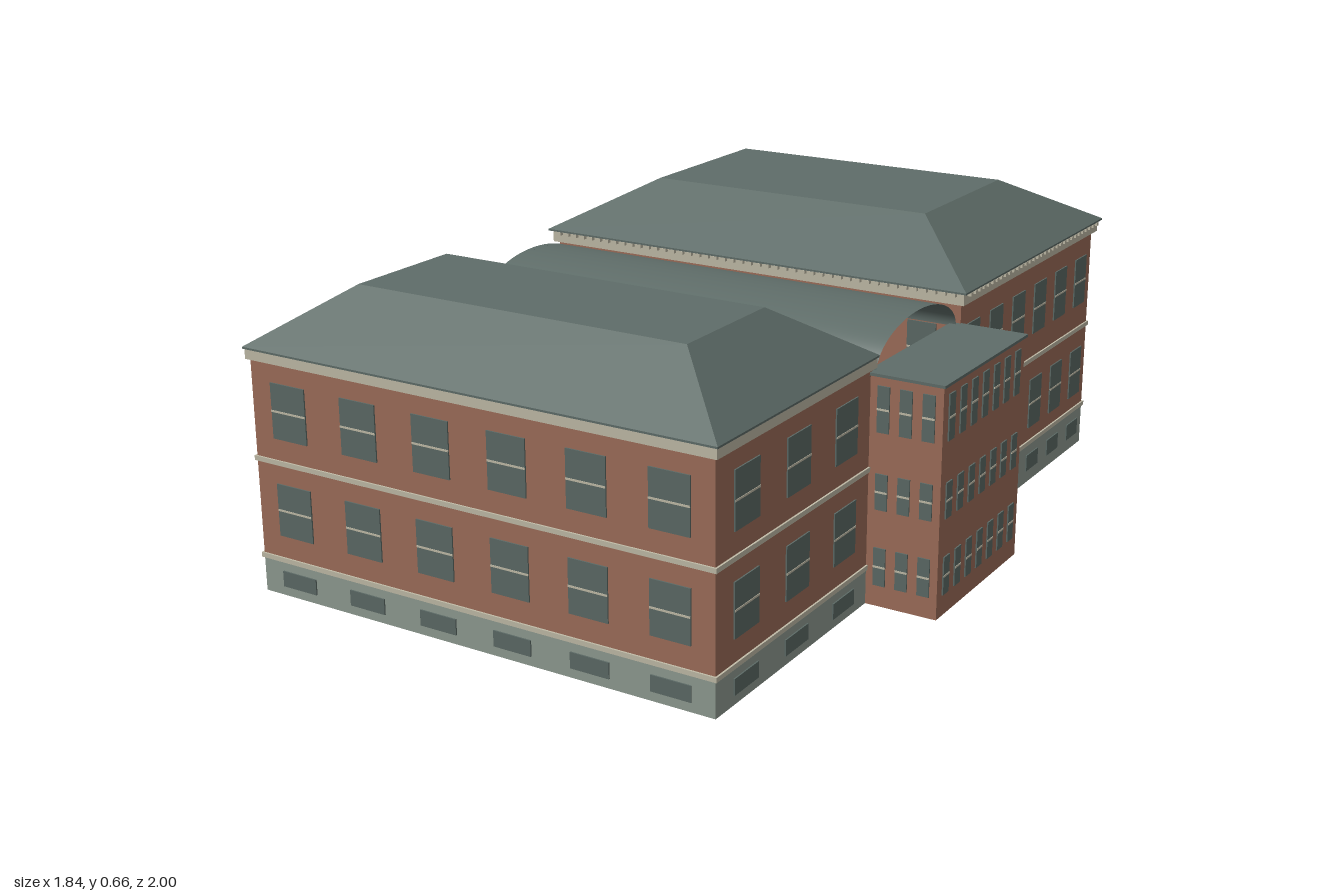
import * as THREE from 'three';
import { mergeGeometries } from 'three/addons/utils/BufferGeometryUtils.js';

const material = (name, color, side = THREE.FrontSide) => {
  const m = new THREE.MeshStandardMaterial({ color, side });
  m.name = name;
  return m;
};

export function createModel() {
  const brick = material('brick', 0x9d6d59);
  const roofing = material('roof slate', 0x5f6d69, THREE.DoubleSide);
  const stone = material('basement stone', 0x8f9b91);
  const trim = material('cream trim', 0xc0bba7);
  const glass = material('window glass', 0x5c6a66, THREE.DoubleSide);

  const model = new THREE.Group();
  const site = new THREE.Group();
  site.name = 'building';
  site.rotation.y = -0.5637;
  model.add(site);

  const add = (parent, name, geometry, mat) => {
    const mesh = new THREE.Mesh(geometry, mat);
    mesh.name = name;
    parent.add(mesh);
    return mesh;
  };
  // Box given by its limits
  const block = (x0, x1, y0, y1, z0, z1) =>
    new THREE.BoxGeometry(x1 - x0, y1 - y0, z1 - z0)
      .translate((x0 + x1) / 2, (y0 + y1) / 2, (z0 + z1) / 2);
  const box = (parent, name, mat, ...limits) => add(parent, name, block(...limits), mat);
  const spread = (n, step) => Array.from({ length: n }, (_, i) => (i - (n - 1) / 2) * step);

  // Leaves out some sides of a box: 0 to 5 for +x, -x, +y, -y, +z, -z
  const without = (geometry, ...sides) => {
    const kept = Array.from(geometry.index.array).filter((_, i) => !sides.includes(Math.floor(i / 6)));
    geometry.setIndex(kept);
    geometry.clearGroups();
    return geometry;
  };
  // Rectangular frame lying flat around a plan
  const frame = ([x0, x1, z0, z1], out, y0, y1) => {
    const corners = (d) => [[x0 - d, -z1 - d], [x1 + d, -z1 - d], [x1 + d, -z0 + d], [x0 - d, -z0 + d]]
      .map(([x, y]) => new THREE.Vector2(x, y));
    const shape = new THREE.Shape(corners(out));
    shape.holes.push(new THREE.Path(corners(0)));
    return new THREE.ExtrudeGeometry(shape, { depth: y1 - y0, bevelEnabled: false })
      .rotateX(-Math.PI / 2).translate(0, y0, 0);
  };

  // Group on a wall, with its own +z pointing outwards
  const facade = (parent, name, x, z, turn) => {
    const g = new THREE.Group();
    g.name = name;
    g.position.set(x, 0, z);
    g.rotation.y = turn;
    parent.add(g);
    return g;
  };
  // Window plates, merged per wall
  const panes = (wall, name, xs, rows, width) => {
    const plates = xs.flatMap((x) => rows.map(([y0, y1]) =>
      block(x - width / 2, x + width / 2, y0, y1, -0.0065, 0.003)));
    add(wall, name, mergeGeometries(plates), glass);
  };
  const rails = (wall, xs, rows, width) => {
    const strips = xs.flatMap((x) => rows.map(([y0, y1]) =>
      block(x - width / 2, x + width / 2, (y0 + y1) / 2 - 0.002, (y0 + y1) / 2 + 0.002, 0.002, 0.004)));
    add(wall, 'meetingRails', mergeGeometries(strips), trim);
  };

  // Main block: stone basement, brick walls, bands, cornice and flat-topped hip roof
  const mainBlock = (name, o) => {
    const g = new THREE.Group();
    g.name = name;
    site.add(g);
    const [x0, x1, z0, z1] = o.plan;
    const cx = (x0 + x1) / 2, cz = (z0 + z1) / 2;
    const shell = (label, mat, y0, y1) => add(g, label, without(block(x0, x1, y0, y1, z0, z1), 2, 3), mat);
    const ring = (label, mat, y0, y1, out) => add(g, label, frame(o.plan, out, y0, y1), mat);
    add(g, 'floorSlab', new THREE.PlaneGeometry(x1 - x0, z1 - z0).rotateX(Math.PI / 2).translate(cx, 0, cz), trim);
    shell('basement', stone, 0, o.base);
    shell('brickWalls', brick, o.base, o.cornice + 0.005);
    ring('baseBand', trim, o.base - 0.005, o.base + 0.005, 0.004);
    ring('floorBand', trim, o.band - 0.005, o.band + 0.005, 0.004);
    ring('cornice', trim, o.cornice, o.eave - 0.004, o.corniceOut);
    ring('eave', roofing, o.eave - 0.004, o.eave, o.out);

    const roof = without(block(x0 - o.out, x1 + o.out, o.eave, o.top, z0 - o.out, z1 + o.out), 3);
    const p = roof.attributes.position;
    for (let i = 0; i < p.count; i++) if (p.getY(i) > (o.eave + o.top) / 2) {
      p.setX(i, p.getX(i) - Math.sign(p.getX(i) - cx) * o.inset);
      p.setZ(i, p.getZ(i) - Math.sign(p.getZ(i) - cz) * o.inset);
    }
    roof.computeVertexNormals();
    add(g, 'hipRoof', roof, roofing);

    const walls = [
      ['frontWall', cx, z1, 0, x1 - x0, o.longXs],
      ['backWall', cx, z0, Math.PI, x1 - x0, o.backXs],
      ['leftWall', x1, cz, Math.PI / 2, z1 - z0, o.shortXs],
      ['rightWall', x0, cz, -Math.PI / 2, z1 - z0, o.shortXs],
    ];
    for (const [label, x, z, turn, length, xs] of walls) {
      const wall = facade(g, label, x, z, turn);
      panes(wall, 'windowPanes', xs, o.rows, o.pane);
      panes(wall, 'basementPanes', xs, [o.cellar], o.pane);
      rails(wall, xs, o.rows, o.pane);
      if (o.dentils) {
        const n = Math.floor(length / 0.022);
        const teeth = spread(n, length / n).map((t) =>
          block(t - 0.005, t + 0.005, o.eave - 0.012, o.eave - 0.004, o.corniceOut, o.out + 0.001));
        add(wall, 'dentils', mergeGeometries(teeth), trim);
      }
    }
    return g;
  };

  mainBlock('frontBlock', {
    plan: [-0.545, 0.515, 0.261, 0.838], base: 0.078, band: 0.285, cornice: 0.49,
    eave: 0.515, top: 0.626, out: 0.01, corniceOut: 0.007, inset: 0.162, pane: 0.086,
    rows: [[0.13, 0.24], [0.335, 0.45]], cellar: [0.02, 0.053],
    longXs: spread(6, 0.175), backXs: spread(6, 0.175), shortXs: spread(3, 0.185),
  });
  const rear = mainBlock('rearBlock', {
    plan: [-0.489, 0.526, -0.844, -0.117], base: 0.098, band: 0.3, cornice: 0.525,
    eave: 0.555, top: 0.661, out: 0.018, corniceOut: 0.01, inset: 0.187, pane: 0.066, dentils: true,
    rows: [[0.135, 0.25], [0.36, 0.475]], cellar: [0.03, 0.068],
    longXs: spread(6, 0.168), shortXs: spread(6, 0.121),
    backXs: [-0.435, -0.315, -0.122, 0, 0.122, 0.315, 0.435],
  });

  // Portico on the rear wall
  const porch = facade(rear, 'portico', 0.018, -0.844, Math.PI);
  box(porch, 'entablature', trim, -0.205, 0.205, 0.508, 0.525, 0, 0.048);
  box(porch, 'entablatureCap', trim, -0.213, 0.213, 0.525, 0.537, 0, 0.056);
  box(porch, 'balconyBand', trim, -0.2, 0.2, 0.291, 0.303, 0, 0.028);
  for (const s of [-1, 1]) {
    const x = s * 0.187;
    box(porch, 'pedestal', stone, s * 0.163 - 0.039, s * 0.163 + 0.039, 0, 0.1, 0, 0.05);
    add(porch, 'column', new THREE.CylinderGeometry(0.01, 0.012, 0.392, 12).translate(x, 0.304, 0.034), trim);
    box(porch, 'columnBase', trim, x - 0.015, x + 0.015, 0.1, 0.11, 0.019, 0.049);
    box(porch, 'capital', trim, x - 0.015, x + 0.015, 0.497, 0.508, 0, 0.049);
    for (const px of [x, s * 0.061]) {
      box(porch, 'pilaster', trim, px - 0.008, px + 0.008, 0.1, 0.508, 0, 0.014);
    }
  }
  const stepCount = 8;
  box(porch, 'landing', stone, -0.123, 0.123, 0, 0.098, 0, 0.045);
  for (let i = 0; i < stepCount; i++) {
    const z = 0.045 + i * 0.0168;
    const step = block(-0.123, 0.123, 0, 0.098 * (1 - (i + 1) / (stepCount + 1)), z, z + 0.0168);
    add(porch, 'step', without(step, 5), stone);
  }

  // Elliptical barrel vault over the atrium between the two blocks
  const atrium = new THREE.Group();
  atrium.name = 'atrium';
  site.add(atrium);
  const half = 0.18, rise = 0.08, spring = 0.48, midZ = 0.073;
  const archY = (t) => spring + rise * Math.sqrt(1 - (t / half) ** 2);
  add(atrium, 'barrelVault', new THREE.CylinderGeometry(1, 1, 0.945, 40, 1, true, 0, Math.PI)
    .rotateZ(Math.PI / 2).scale(1, rise, half).translate(0.0475, spring, midZ), roofing);

  // Glazed end wall with a grid of bars up to the arch; the annex end is open under the vault
  const glazed = facade(atrium, 'glassEndWall', -0.412, midZ, -Math.PI / 2);
  const outline = new THREE.Shape();
  outline.moveTo(-half, 0);
  outline.lineTo(half, 0);
  outline.lineTo(half, spring);
  outline.absellipse(0, spring, half, rise, 0, Math.PI, false);
  outline.closePath();
  add(glazed, 'glazing', new THREE.ShapeGeometry(outline, 24), glass);
  const bars = spread(9, 0.043).map((t) => block(t - 0.003, t + 0.003, 0, archY(t) - 0.003, -0.004, 0.004));
  for (let i = 1; i <= 8; i++) bars.push(block(-half, half, i * 0.06 - 0.003, i * 0.06 + 0.003, -0.0045, 0.0045));
  add(glazed, 'glazingBars', mergeGeometries(bars), stone);

  // Brick stair annex closing the other end, open underneath
  const annex = new THREE.Group();
  annex.name = 'annex';
  site.add(annex);
  const ax0 = 0.515, ax1 = 0.67, az0 = -0.116, az1 = 0.267, t = 0.006;
  box(annex, 'outerWall', brick, ax1 - t, ax1, 0, 0.478, az0, az1);
  box(annex, 'frontReturn', brick, ax0, ax1 - t, 0, 0.478, az1 - t, az1);
  box(annex, 'rearReturn', brick, ax0, ax1 - t, 0, 0.478, az0, az0 + t);
  box(annex, 'flatRoof', roofing, ax0 - 0.01, ax1 + 0.0045, 0.478, 0.484, az0 - 0.0045, az1 + 0.0045);
  const rows = [[0.045, 0.125], [0.205, 0.28], [0.365, 0.46]];
  const mx = (ax0 + ax1) / 2;
  const sides = [
    ['outerSide', ax1, (az0 + az1) / 2, Math.PI / 2, spread(7, 0.052)],
    ['frontSide', mx, az1, 0, spread(3, 0.048)],
    ['rearSide', mx, az0, Math.PI, spread(3, 0.048)],
  ];
  for (const [label, x, z, turn, xs] of sides) {
    const wall = facade(annex, label, x, z, turn);
    panes(wall, 'windowPanes', xs, rows, 0.026);
    rails(wall, xs, rows, 0.026);
  }

  return model;
}
